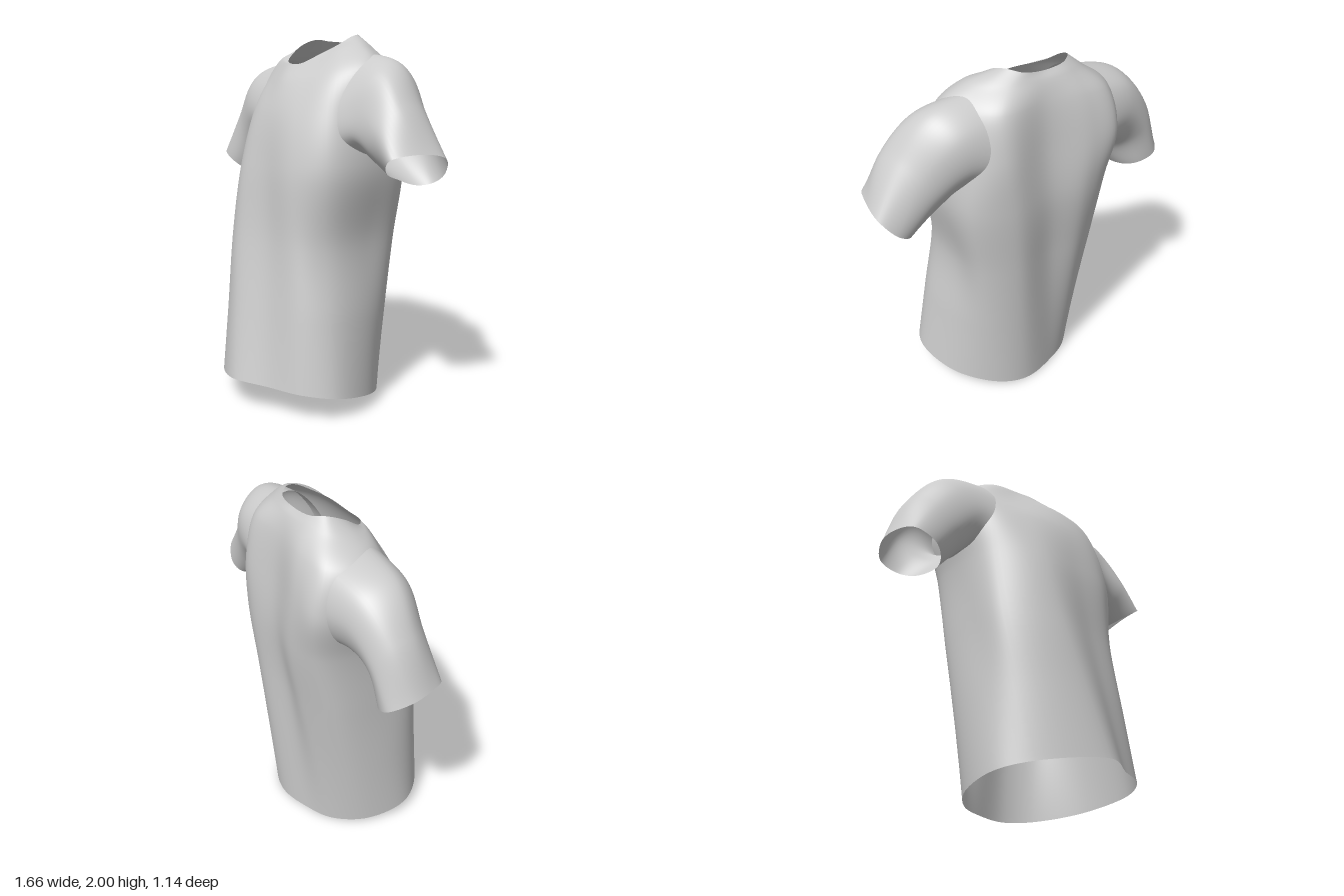
import * as THREE from 'three';

const V = (p) => new THREE.Vector3(...p);
const material = new THREE.MeshStandardMaterial({ color: 0xcccccc, side: THREE.DoubleSide });

// Blend two rings of points
const blend = (a, b, t) => a.map((p, i) => p.map((v, k) => v + (b[i][k] - v) * t));

// Smooth cloth surface through a few closed rings, open at both ends
function loft(name, rings, around, along) {
  const loops = rings.map((r) => new THREE.CatmullRomCurve3(r.map(V), true, 'centripetal'));
  const positions = [];
  const index = [];
  for (let j = 0; j < around; j++) {
    const rib = new THREE.CatmullRomCurve3(loops.map((l) => l.getPoint(j / around)), false, 'centripetal');
    for (let i = 0; i <= along; i++) positions.push(...rib.getPoint(i / along).toArray());
  }
  const row = along + 1;
  for (let j = 0; j < around; j++) {
    for (let i = 0; i < along; i++) {
      const a = j * row + i;
      const b = ((j + 1) % around) * row + i;
      index.push(a, b, a + 1, b, b + 1, a + 1);
    }
  }
  const geometry = new THREE.BufferGeometry();
  geometry.setAttribute('position', new THREE.Float32BufferAttribute(positions, 3));
  geometry.setIndex(index);
  geometry.computeVertexNormals();
  const mesh = new THREE.Mesh(geometry, material);
  mesh.name = name;
  return mesh;
}

// Torso rings: from the front centre round by the left side, back and right side
const hem = [
  [-0.04, 0.555], [0.17, 0.565], [0.33, 0.47], [0.4, 0.2], [0.32, -0.06], [0.19, -0.19],
  [-0.02, -0.245], [-0.2, -0.25], [-0.4, -0.16], [-0.54, 0.04], [-0.51, 0.24], [-0.27, 0.54],
].map(([x, z]) => [x, Math.max(0, 0.05 + 0.19 * z - 0.04 * x), z]);

const waist = [
  [-0.11, 0.42], [0.09, 0.475], [0.24, 0.39], [0.36, 0.17], [0.42, -0.03], [0.3, -0.2],
  [0.08, -0.27], [-0.085, -0.37], [-0.29, -0.355], [-0.45, -0.13], [-0.51, 0.07], [-0.36, 0.34],
].map(([x, z]) => [x, 0.9, z]);

const chest = [
  [-0.14, 0.37], [0.06, 0.455], [0.27, 0.42], [0.43, 0.2], [0.48, -0.02], [0.35, -0.2],
  [0.13, -0.29], [-0.05, -0.42], [-0.24, -0.44], [-0.41, -0.24], [-0.48, 0], [-0.37, 0.24],
].map(([x, z]) => [x, 1.3, z]);

const armhole = [
  [-0.13, 1.58, 0.31], [0.04, 1.58, 0.38], [0.25, 1.58, 0.38], [0.42, 1.58, 0.21],
  [0.46, 1.57, -0.02], [0.37, 1.6, -0.18], [0.13, 1.6, -0.27], [-0.08, 1.6, -0.43],
  [-0.25, 1.58, -0.49], [-0.44, 1.56, -0.28], [-0.46, 1.55, -0.04], [-0.33, 1.58, 0.15],
];

const shoulder = [
  [-0.12, 1.74, 0.22], [0.04, 1.76, 0.28], [0.24, 1.79, 0.3], [0.4, 1.82, 0.21],
  [0.41, 1.82, 0.05], [0.34, 1.83, -0.14], [0.11, 1.83, -0.245], [-0.08, 1.82, -0.37],
  [-0.25, 1.8, -0.42], [-0.41, 1.78, -0.3], [-0.41, 1.76, -0.12], [-0.28, 1.74, 0.06],
];

const yoke = [
  [-0.1, 1.81, 0.155], [0.05, 1.85, 0.18], [0.2, 1.91, 0.17], [0.29, 1.93, 0.11],
  [0.3, 1.93, 0.01], [0.23, 1.94, -0.12], [0.08, 1.93, -0.22], [-0.08, 1.93, -0.29],
  [-0.2, 1.92, -0.29], [-0.3, 1.89, -0.2], [-0.29, 1.88, -0.08], [-0.2, 1.84, 0.05],
];

const neckline = [
  [-0.06, 1.845, 0.135], [0.05, 1.89, 0.135], [0.14, 1.945, 0.075], [0.18, 1.985, 0.01],
  [0.19, 2, -0.06], [0.16, 1.985, -0.14], [0.05, 1.968, -0.2], [-0.07, 1.975, -0.245],
  [-0.15, 1.985, -0.23], [-0.205, 1.955, -0.165], [-0.225, 1.89, -0.06], [-0.16, 1.85, 0.075],
];

// Sleeve rings: top, front, underarm, back; the first is tucked just under the torso surface
const leftSleeve = [
  [ // tuck
    [0.28, 1.905, 0.05], [0.26, 1.82, 0.22], [0.2, 1.6, 0.35], [0.22, 1.42, 0.36],
    [0.3, 1.3, 0.2], [0.36, 1.4, 0], [0.38, 1.58, -0.13], [0.34, 1.8, -0.09],
  ],
  [ // shoulder
    [0.53, 1.84, 0.17], [0.48, 1.79, 0.32], [0.38, 1.62, 0.38], [0.36, 1.47, 0.38],
    [0.4, 1.38, 0.26], [0.44, 1.4, 0.1], [0.5, 1.56, -0.03], [0.54, 1.74, 0.01],
  ],
  [ // upper arm
    [0.68, 1.63, 0.26], [0.63, 1.62, 0.41], [0.53, 1.52, 0.47], [0.48, 1.4, 0.42],
    [0.47, 1.34, 0.29], [0.52, 1.35, 0.14], [0.61, 1.44, 0.09], [0.67, 1.55, 0.14],
  ],
  [ // cuff
    [0.83, 1.38, 0.3], [0.76, 1.41, 0.42], [0.63, 1.385, 0.535], [0.57, 1.31, 0.43],
    [0.585, 1.27, 0.32], [0.65, 1.235, 0.23], [0.72, 1.245, 0.2], [0.79, 1.29, 0.22],
  ],
];

const rightSleeve = [
  [ // tuck
    [-0.29, 1.865, -0.14], [-0.29, 1.75, 0], [-0.35, 1.57, 0.06], [-0.36, 1.42, 0.08],
    [-0.3, 1.3, -0.15], [-0.2, 1.42, -0.39], [-0.2, 1.6, -0.45], [-0.24, 1.8, -0.385],
  ],
  [ // shoulder
    [-0.57, 1.78, -0.3], [-0.56, 1.71, -0.16], [-0.51, 1.55, -0.07], [-0.46, 1.42, -0.1],
    [-0.43, 1.37, -0.27], [-0.4, 1.42, -0.42], [-0.42, 1.58, -0.5], [-0.48, 1.73, -0.46],
  ],
  [ // upper arm
    [-0.71, 1.58, -0.38], [-0.69, 1.53, -0.24], [-0.61, 1.42, -0.16], [-0.53, 1.32, -0.19],
    [-0.5, 1.3, -0.32], [-0.51, 1.36, -0.45], [-0.56, 1.46, -0.535], [-0.65, 1.56, -0.5],
  ],
  [ // cuff
    [-0.825, 1.32, -0.4], [-0.825, 1.31, -0.29], [-0.72, 1.255, -0.215], [-0.62, 1.195, -0.25],
    [-0.575, 1.18, -0.4], [-0.6, 1.205, -0.51], [-0.68, 1.25, -0.57], [-0.78, 1.3, -0.51],
  ],
];

export function createModel() {
  const shirt = new THREE.Group();
  shirt.name = 'shirt';
  const torsoRings = [hem, blend(hem, waist, 0.5), waist, chest, armhole, shoulder, yoke, neckline];
  // The right sleeve runs the other way, so its rings are reversed to face outward
  const rightRings = rightSleeve.map((r) => [...r].reverse());
  shirt.add(
    loft('torso', torsoRings, 96, 84),
    loft('leftSleeve', leftSleeve, 64, 48),
    loft('rightSleeve', rightRings, 64, 48),
  );
  return shirt;
}
